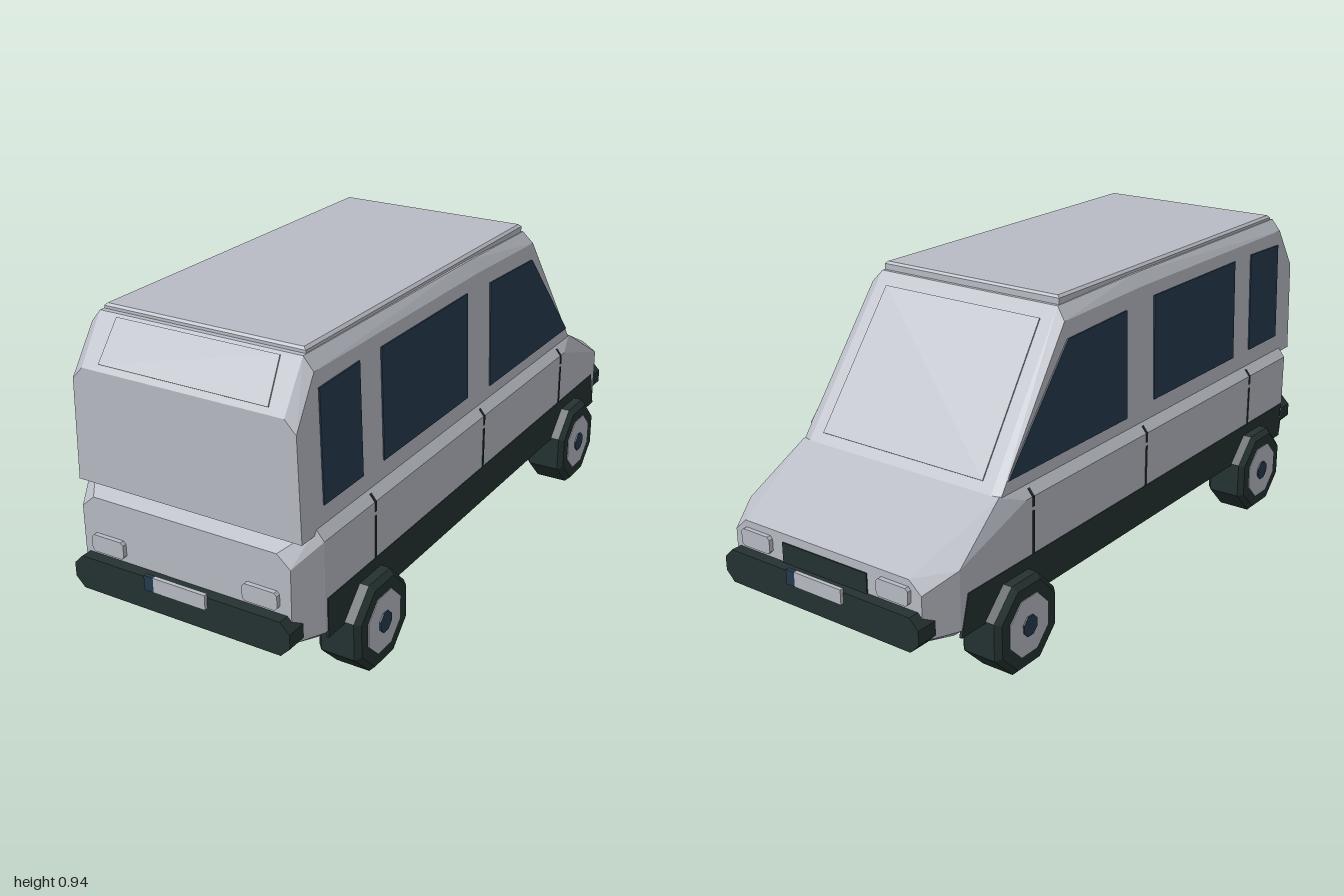
import * as THREE from 'three';
import { ConvexGeometry } from 'three/addons/geometries/ConvexGeometry.js';

const mat = (name, color) => {
  const m = new THREE.MeshStandardMaterial({ color });
  m.name = name;
  return m;
};

export function createModel() {
  const paint = mat('silver paint', 0xb8bbc4);
  const trim = mat('dark trim', 0x243231);
  const glass = mat('navy glass', 0x25394e);
  const van = new THREE.Group();
  van.name = 'van';

  const add = (name, geometry, material, parent = van) => {
    const mesh = new THREE.Mesh(geometry, material);
    mesh.name = name;
    parent.add(mesh);
    return mesh;
  };
  const box = (name, material, x0, x1, y0, y1, z0, z1) =>
    add(name, new THREE.BoxGeometry(x1 - x0, y1 - y0, z1 - z0), material)
      .position.set((x0 + x1) / 2, (y0 + y1) / 2, (z0 + z1) / 2);
  // faceted solid around a set of points
  const hull = (name, material, pts) =>
    add(name, new ConvexGeometry(pts.map(p => new THREE.Vector3(...p))), material);
  const mirrored = pts => pts.flatMap(([x, y, z]) => [[x, y, z], [-x, y, z]]);
  // thin plate: corners thickened along a direction
  const plate = (name, material, pts, n, t) => hull(name, material,
    pts.flatMap(p => [-t, t].map(s => p.map((v, i) => v + n[i] * s))));
  // block with cut corners, seen along z
  const cutBlock = (name, material, x0, x1, y0, y1, z0, z1, c) =>
    hull(name, material, [z0, z1].flatMap(z => [
      [x0 + c, y0, z], [x1 - c, y0, z], [x1, y0 + c, z], [x1, y1 - c, z],
      [x1 - c, y1, z], [x0 + c, y1, z], [x0, y1 - c, z], [x0, y0 + c, z]]));

  // lower body with bonnet (nose points to -z)
  hull('lowerBody', paint, mirrored([
    [0.33, 0.2, 0.955], [0.33, 0.41, 0.955], [0.29, 0.445, 0.955], [0.31, 0.18, 0.93],
    [0.35, 0.18, 0.87], [0.374, 0.2, 0.87], [0.374, 0.46, 0.87], [0.35, 0.49, 0.87],
    [0.374, 0.46, -0.585], [0.35, 0.49, -0.67], [0.374, 0.37, -0.86],
    [0.374, 0.2, -0.86], [0.35, 0.18, -0.86], [0.31, 0.18, -0.93],
    [0.33, 0.2, -0.955], [0.33, 0.325, -0.955], [0.29, 0.36, -0.955]]));

  // cabin with slightly leaning walls
  const wall = y => 0.352 - 0.03 * (y - 0.475);
  hull('cabin', paint, mirrored([
    [wall(0.475), 0.475, 0.935], [wall(0.765), 0.765, 0.935], [0.31, 0.8, 0.935],
    [wall(0.895), 0.895, 0.85], [0.31, 0.93, 0.85],
    [0.315, 0.93, 0], [wall(0.895), 0.895, 0],
    [wall(0.885), 0.885, -0.37], [0.31, 0.92, -0.36],
    [wall(0.475), 0.475, -0.672], [0.325, 0.475, -0.681]]));
  hull('roofPanel', paint, mirrored([
    [0.308, 0.92, 0.835], [0.308, 0.938, 0.835], [0.3, 0.945, 0.83],
    [0.308, 0.92, -0.35], [0.308, 0.938, -0.35], [0.3, 0.945, -0.345]]));

  // windscreen and rear window panels
  plate('windscreenPanel', paint, mirrored([[0.285, 0.515, -0.652], [0.272, 0.885, -0.385]]),
    [0, 0.585, -0.811], 0.004);
  plate('rearWindowPanel', paint, mirrored([[0.26, 0.815, 0.925], [0.25, 0.922, 0.855]]),
    [0, 0.547, 0.837], 0.004);

  // side windows as [z, y] outlines
  const windows = {
    frontWindow: [[-0.075, 0.525], [-0.635, 0.525], [-0.36, 0.835], [-0.075, 0.845]],
    middleWindow: [[0.545, 0.54], [0.07, 0.54], [0.07, 0.855], [0.545, 0.855]],
    rearWindow: [[0.835, 0.54], [0.65, 0.54], [0.65, 0.855], [0.835, 0.85]],
  };
  for (const [side, s] of [['left', 1], ['right', -1]]) {
    for (const [name, outline] of Object.entries(windows))
      plate(`${side} ${name}`, glass, outline.map(([z, y]) => [s * wall(y), y, z]), [s, 0, 0], 0.004);

    // sill strip
    plate(`${side} sill`, trim, [[0.86, 0.295], [0.86, 0.18], [-0.86, 0.18], [-0.83, 0.295]]
      .map(([z, y]) => [s * 0.372, y, z]), [s, 0, 0], 0.0045);

    // door gaps
    for (const z of [0.625, 0, -0.555])
      for (const [y0, y1] of [[0.29, 0.42], [0.432, 0.46]]) {
        const x = s * 0.374;
        box(`${side} doorGap`, trim, x - 0.002, x + 0.002, y0, y1, z - 0.004, z + 0.004);
      }
    for (const z of [0.625, 0, -0.555])
      plate(`${side} upperDoorGap`, trim, [-0.004, 0.004].flatMap(d =>
        [[s * 0.374, 0.46, z + d], [s * 0.358, 0.48, z + d]]), [s * 0.78, 0.62, 0], 0.002);
  }

  // bumpers, lamps and number plates on both ends
  for (const [end, e] of [['rear', 1], ['front', -1]]) {
    cutBlock(`${end} bumper`, trim, -0.345, 0.345, 0.18, 0.277, e * 0.88, e * 0.988, 0.028);
    for (const s of [1, -1]) {
      const x = s * 0.243;
      cutBlock(`${end} lamp`, paint, x - 0.053, x + 0.053, 0.29, 0.34, e * 0.94, e * 0.968, 0.008);
    }
    box(`${end} numberPlate`, paint, Math.min(-0.07 * e, 0.095 * e), Math.max(-0.07 * e, 0.095 * e),
      0.245, 0.288, e * 0.992 - 0.006, e * 0.992 + 0.006);
    box(`${end} plateBand`, glass, Math.min(-0.1 * e, -0.07 * e), Math.max(-0.1 * e, -0.07 * e),
      0.245, 0.288, e * 0.992 - 0.006, e * 0.992 + 0.006);
  }
  box('grille', trim, -0.15, 0.15, 0.275, 0.335, -0.959, -0.95);

  // eight-sided wheels with bevelled tyres
  const lathe = pts => {
    const g = new THREE.LatheGeometry(pts.map(p => new THREE.Vector2(...p)), 8, Math.PI / 8)
      .toNonIndexed();
    g.computeVertexNormals();
    return g.rotateZ(-Math.PI / 2);
  };
  const tyre = lathe([[0, -0.065], [0.125, -0.065], [0.141, -0.05], [0.141, 0.05],
    [0.125, 0.065], [0, 0.065]]);
  const disc = lathe([[0, 0.06], [0.09, 0.06], [0.09, 0.067], [0, 0.067]]);
  const cap = lathe([[0, 0.06], [0.031, 0.06], [0.031, 0.071], [0, 0.071]]);
  for (const [end, z] of [['rear', 0.655], ['front', -0.635]])
    for (const [side, s] of [['left', 1], ['right', -1]]) {
      const wheel = new THREE.Group();
      wheel.name = `${end} ${side} wheel`;
      add('tyre', tyre, trim, wheel);
      add('wheelDisc', disc, paint, wheel);
      add('hubCap', cap, glass, wheel);
      wheel.position.set(s * 0.354, 0.131, z);
      if (s < 0) wheel.rotation.y = Math.PI;
      van.add(wheel);
    }
  return van;
}
